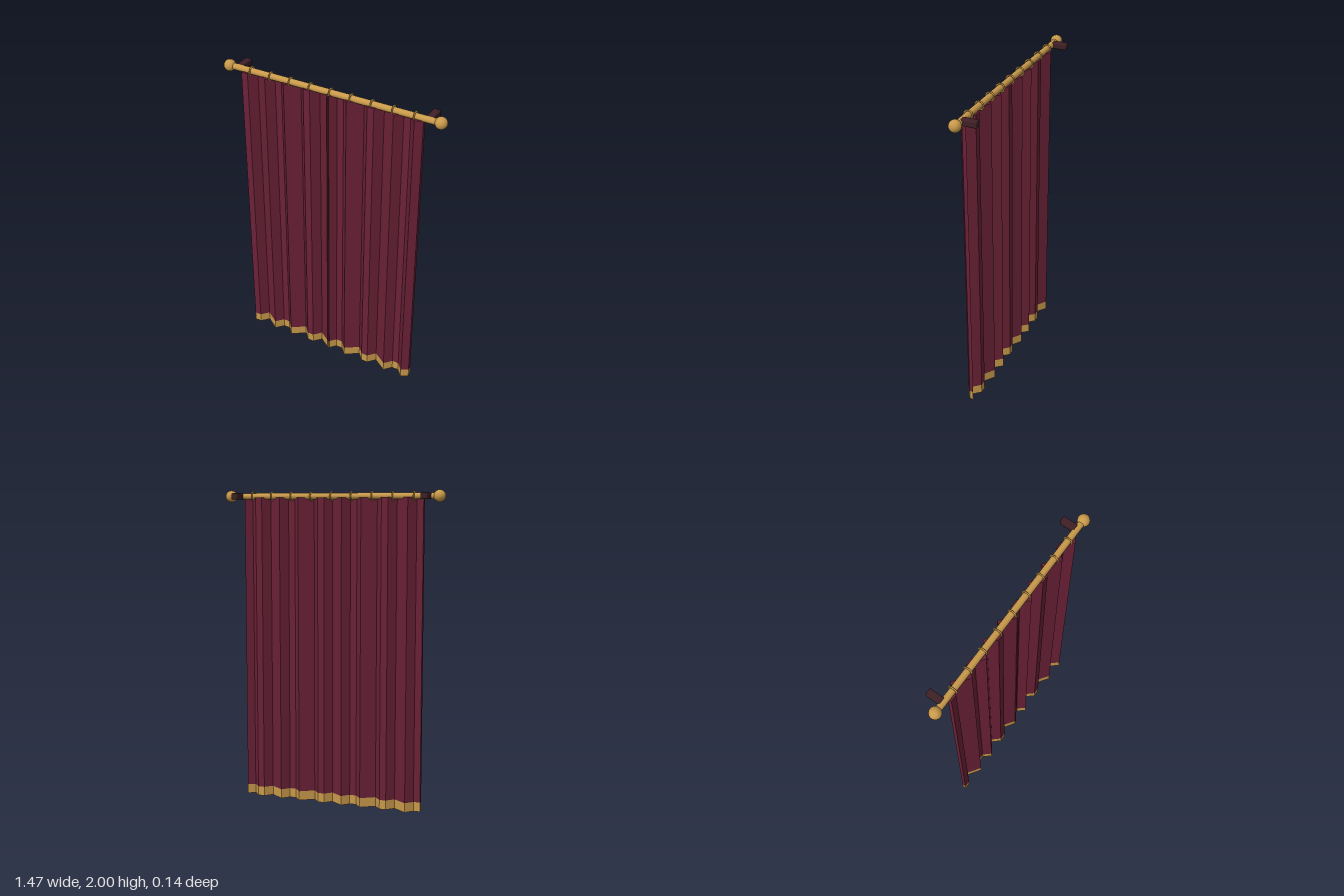
import * as THREE from 'three';
import { RoundedBoxGeometry } from 'three/addons/geometries/RoundedBoxGeometry.js';

const ROD_Y = 1.963, ROD_Z = 0.026;
const SEGMENTS = 14, PANEL_WIDTH = 0.599, THICKNESS = 0.024, FOLD_DEPTH = 0.031;

// Pleated slab: a sampled wave in plan, raised from y0 to y1
function pleatedSlab(startX, firstIndex, y0, y1) {
  const front = [], back = [];
  for (let k = 0; k <= SEGMENTS; k++) {
    const x = startX + (PANEL_WIDTH * k) / SEGMENTS;
    const z = ROD_Z + FOLD_DEPTH * Math.sin(0.6 * Math.PI * (k + firstIndex - 3));
    front.push(new THREE.Vector2(x, -(z + THICKNESS / 2)));
    back.unshift(new THREE.Vector2(x, -(z - THICKNESS / 2)));
  }
  const geometry = new THREE.ExtrudeGeometry(new THREE.Shape([...front, ...back]), {
    depth: y1 - y0, bevelEnabled: false,
  });
  geometry.rotateX(-Math.PI / 2);
  geometry.translate(0, y0, 0);
  return geometry;
}

export function createModel() {
  const fabric = new THREE.MeshStandardMaterial({ name: 'burgundy fabric', color: 0x6a2136 });
  const gold = new THREE.MeshStandardMaterial({ name: 'gold', color: 0xc8994a });
  const wood = new THREE.MeshStandardMaterial({ name: 'dark brown', color: 0x3e2025 });

  const model = new THREE.Group();
  model.name = 'curtain';
  const add = (name, geometry, material, x = 0, y = 0, z = 0) => {
    const mesh = new THREE.Mesh(geometry, material);
    mesh.name = name;
    mesh.position.set(x, y, z);
    model.add(mesh);
  };

  // Two fabric panels meeting in the middle, each with a gold hem
  const panels = [['right', -0.595, 0], ['left', -0.004, SEGMENTS]];
  for (const [side, startX, index] of panels) {
    add(`${side}Panel`, pleatedSlab(startX, index, 0.06, 1.955), fabric);
    add(`${side}Hem`, pleatedSlab(startX, index, 0, 0.06), gold);
  }

  // Rod
  const rod = new THREE.CylinderGeometry(0.02, 0.02, 1.38, 20);
  rod.rotateZ(Math.PI / 2);
  add('rod', rod, gold, 0, ROD_Y, ROD_Z);

  // Ball finials and wall brackets at both ends
  for (const side of [-1, 1]) {
    const name = side > 0 ? 'left' : 'right';
    add(`${name}Finial`, new THREE.SphereGeometry(0.037, 24, 16), gold, side * 0.696, ROD_Y, ROD_Z);
    add(`${name}Bracket`, new RoundedBoxGeometry(0.043, 0.04, 0.1, 2, 0.008), wood,
      side * 0.626, ROD_Y, -0.026);
  }

  // Curtain rings
  const ring = new THREE.TorusGeometry(0.026, 0.005, 8, 24);
  ring.rotateY(Math.PI / 2);
  for (let i = -4; i <= 4; i++) add('ring', ring, gold, i * 0.135, ROD_Y, ROD_Z);

  return model;
}
